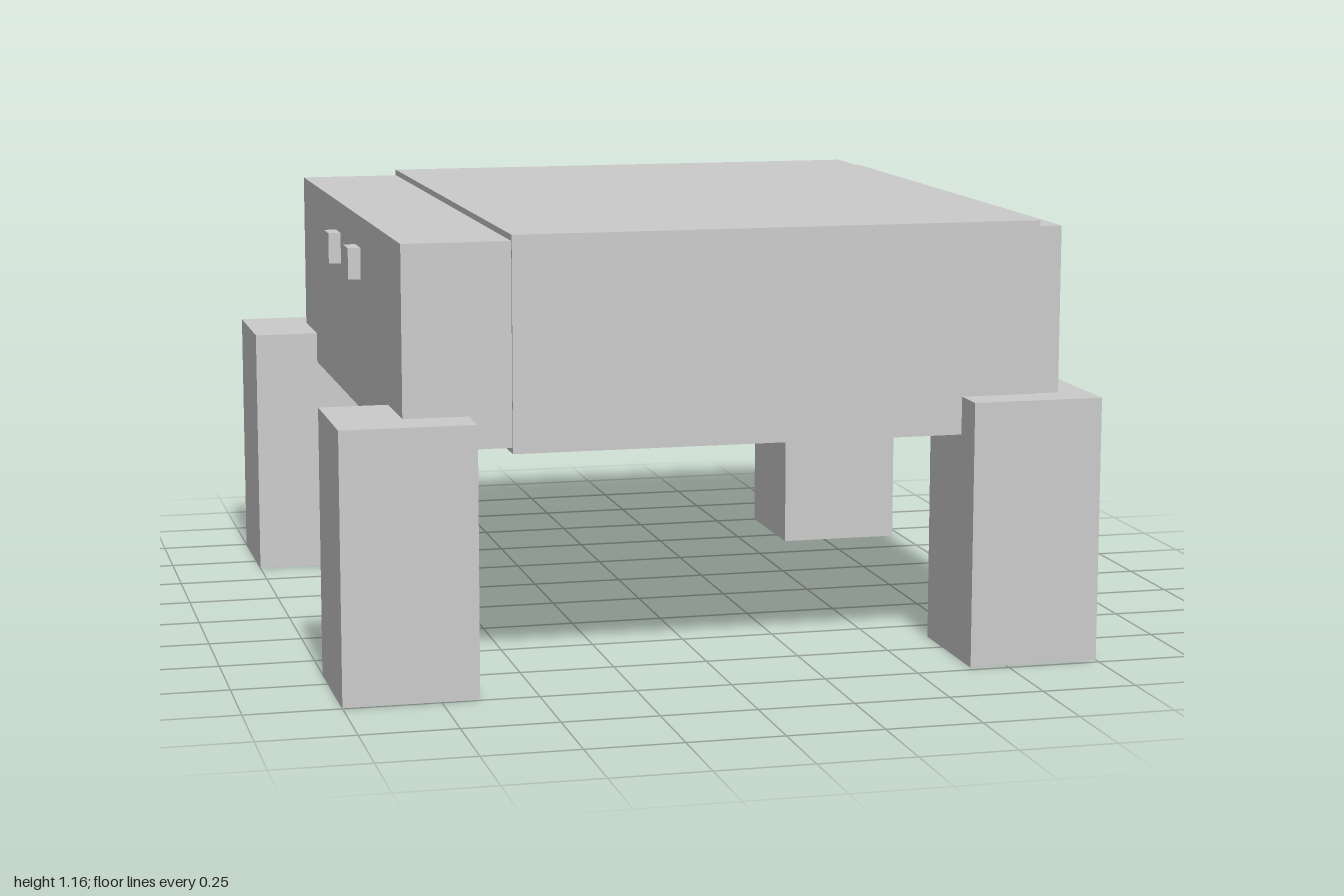
import * as THREE from 'three';

const material = new THREE.MeshStandardMaterial({ color: 0xcccccc, flatShading: true });

// Box given by its extents along each axis
function block(name, [x0, x1], [y0, y1], [z0, z1]) {
  const mesh = new THREE.Mesh(new THREE.BoxGeometry(x1 - x0, y1 - y0, z1 - z0), material);
  mesh.position.set((x0 + x1) / 2, (y0 + y1) / 2, (z0 + z1) / 2);
  mesh.name = name;
  return mesh;
}

export function createModel() {
  const model = new THREE.Group();
  model.name = 'lowTable';

  // Long inner body, with a slightly larger sleeve around it
  model.add(block('body', [-0.82, 0.92], [0.615, 1.14], [-0.877, 0.87]));
  model.add(block('sleeve', [-0.54, 0.858], [0.6, 1.156], [-0.887, 0.877]));

  // Four square legs, each set at its own corner
  const size = 0.348, legHeight = 0.7;
  const legs = [
    ['frontLeftLeg', 0.652, 0.63],
    ['frontRightLeg', -1, 0.647],
    ['backLeftLeg', 0.624, -1],
    ['backRightLeg', -1, -1],
  ];
  for (const [name, x, z] of legs) {
    model.add(block(name, [x, x + size], [0, legHeight], [z, z + size]));
  }

  // Pair of small square knobs on the end face
  for (const [name, z] of [['backKnob', -0.226], ['frontKnob', 0.132]]) {
    model.add(block(name, [-0.854, -0.81], [0.97, 1.055], [z, z + 0.086]));
  }
  return model;
}
